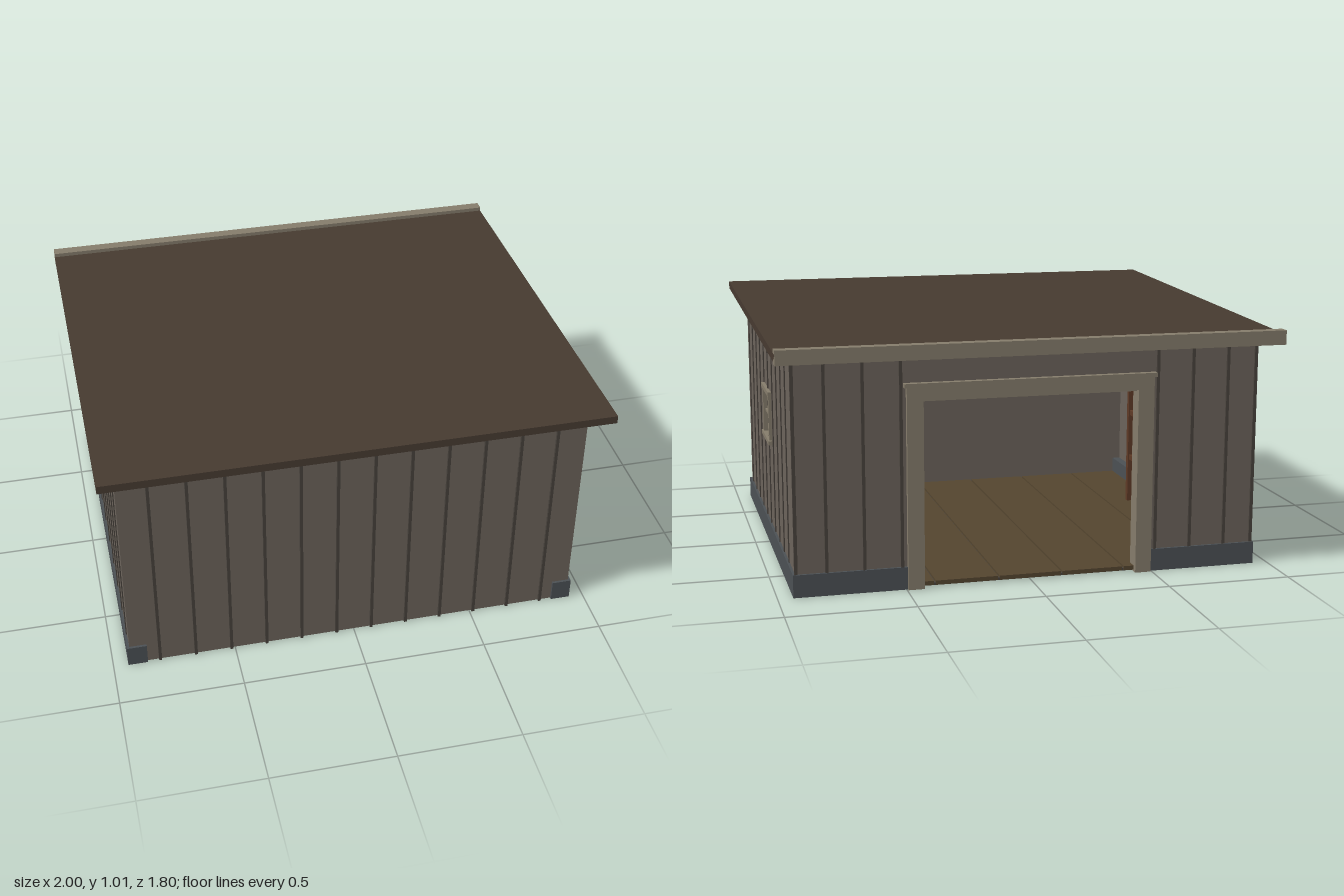
import * as THREE from 'three';

const mat = (color) => new THREE.MeshStandardMaterial({ color });
const M = {
  wall: mat(0x6b635b), batten: mat(0x48423c), base: mat(0x4b5054), trim: mat(0x857c6b),
  roof: mat(0x463a30), floor: mat(0x54452f), wood: mat(0x5e3a26), glass: mat(0x1f2a33),
};

export function createModel() {
  const root = new THREE.Group();
  root.name = 'shed';

  // Box given by its min and max along each axis
  const box = (name, m, x0, x1, y0, y1, z0, z1, parent = root) => {
    const mesh = new THREE.Mesh(new THREE.BoxGeometry(x1 - x0, y1 - y0, z1 - z0), m);
    mesh.position.set((x0 + x1) / 2, (y0 + y1) / 2, (z0 + z1) / 2);
    mesh.name = name;
    parent.add(mesh);
    return mesh;
  };
  const group = (name) => {
    const g = new THREE.Group();
    g.name = name;
    root.add(g);
    return g;
  };
  const TOP = 0.945, STEP = 0.147, BW = 0.006;

  // Front wall, reaching the ground, with its battens
  box('frontWall', M.wall, -0.93, 0.93, 0, TOP, 0.755, 0.79);
  const frontBattens = group('frontBattens');
  for (let i = 0; i < 12; i++) {
    const x = (i - 5.5) * STEP;
    box('batten', M.batten, x - BW, x + BW, 0, 0.93, 0.788, 0.8, frontBattens);
  }

  // Back wall with the doorway
  const door = new THREE.Shape();
  [[-0.93, 0.01], [-0.45, 0.01], [-0.45, 0.76], [0.45, 0.76], [0.45, 0.01], [0.93, 0.01], [0.93, 0.935], [-0.93, 0.935]]
    .forEach(([x, y], i) => (i ? door.lineTo(x, y) : door.moveTo(x, y)));
  const back = new THREE.Mesh(new THREE.ExtrudeGeometry(door, { depth: 0.035, bevelEnabled: false }), M.wall);
  back.position.z = -0.78;
  back.name = 'backWall';
  root.add(back);

  // Door casing
  const casing = group('doorCasing');
  for (const s of [-1, 1]) {
    const post = (name, a, b, y1, z0, z1) =>
      box(name, M.trim, Math.min(s * a, s * b), Math.max(s * a, s * b), 0, y1, z0, z1, casing);
    post('doorPost', 0.43, 0.495, 0.75, -0.8, -0.775);
    post('doorReveal', 0.43, 0.455, 0.75, -0.78, -0.735);
  }
  box('doorHeader', M.trim, -0.495, 0.495, 0.745, 0.8, -0.8, -0.775, casing);
  box('headerCap', M.trim, -0.505, 0.505, 0.795, 0.812, -0.806, -0.77, casing);
  box('headerReveal', M.trim, -0.45, 0.45, 0.738, 0.762, -0.78, -0.735, casing);

  // Everything that repeats on the left and right
  for (const s of [-1, 1]) {
    const side = group(s > 0 ? 'leftSide' : 'rightSide');
    const sbox = (name, m, a, b, ...r) => box(name, m, Math.min(s * a, s * b), Math.max(s * a, s * b), ...r, side);

    // Side wall around the window opening
    sbox('wallBelowWindow', M.wall, 0.895, 0.93, 0.01, 0.465, -0.775, 0.78);
    sbox('wallAboveWindow', M.wall, 0.895, 0.93, 0.655, TOP, -0.775, 0.78);
    sbox('wallBehindWindow', M.wall, 0.895, 0.93, 0.465, 0.655, -0.775, -0.092);
    sbox('wallAheadOfWindow', M.wall, 0.895, 0.93, 0.465, 0.655, 0.098, 0.78);
    for (let i = 0; i < 10; i++) {
      const z = 0.712 - i * STEP;
      sbox('batten', M.batten, 0.925, 0.934, 0.09, 0.93, z - BW, z + BW);
    }

    // Window: glass, frame and glazing bars
    sbox('windowGlass', M.glass, 0.91, 0.922, 0.46, 0.66, -0.095, 0.1);
    for (const z of [-0.108, 0.093]) sbox('windowStile', M.trim, 0.915, 0.941, 0.46, 0.66, z, z + 0.02);
    sbox('windowSill', M.trim, 0.915, 0.946, 0.448, 0.466, -0.121, 0.126);
    sbox('windowHead', M.trim, 0.915, 0.944, 0.653, 0.672, -0.121, 0.126);
    sbox('glazingBar', M.trim, 0.915, 0.932, 0.46, 0.66, -0.002, 0.008);
    sbox('glazingBar', M.trim, 0.915, 0.932, 0.555, 0.565, -0.095, 0.1);

    // Stone footing along the side and beside the doorway
    sbox('sideFooting', M.base, 0.86, 0.94, 0, 0.09, -0.79, 0.8);
    sbox('backFooting', M.base, 0.495, 0.94, 0, 0.09, -0.79, -0.74);

    // Back battens
    for (const x of [0.515, 0.662, 0.809])
      sbox('backBatten', M.batten, x - BW, x + BW, 0.09, 0.93, -0.788, -0.775);
    sbox('cornerBatten', M.batten, 0.921, 0.934, 0.09, 0.93, -0.786, -0.775);

    // Shelf unit against the side wall
    for (const z of [-0.2, 0.2]) sbox('shelfUpright', M.wood, 0.74, 0.89, 0.02, 0.84, z - 0.012, z + 0.012);
    for (const y of [0.22, 0.43, 0.64, 0.82]) sbox('shelfBoard', M.wood, 0.745, 0.89, y, y + 0.022, -0.2, 0.2);
  }

  // Plank floor
  const floor = group('floor');
  box('subfloor', M.batten, -0.9, 0.9, 0.005, 0.015, -0.775, 0.76, floor);
  const n = 7, w = 1.8 / n;
  for (let i = 0; i < n; i++) {
    const x = -0.9 + i * w;
    box('floorPlank', M.floor, x + 0.004, x + w - 0.004, 0.007, 0.024, -0.78, 0.76, floor);
  }

  // Single-pitch roof, falling to the back, with its fascia
  const roof = box('roof', M.roof, -1, 1, 0.954, 0.986, -0.895, 0.9);
  roof.rotation.x = -0.0315;
  box('fascia', M.trim, -1, 1, 0.918, 0.975, -0.9, -0.855);

  return root;
}
